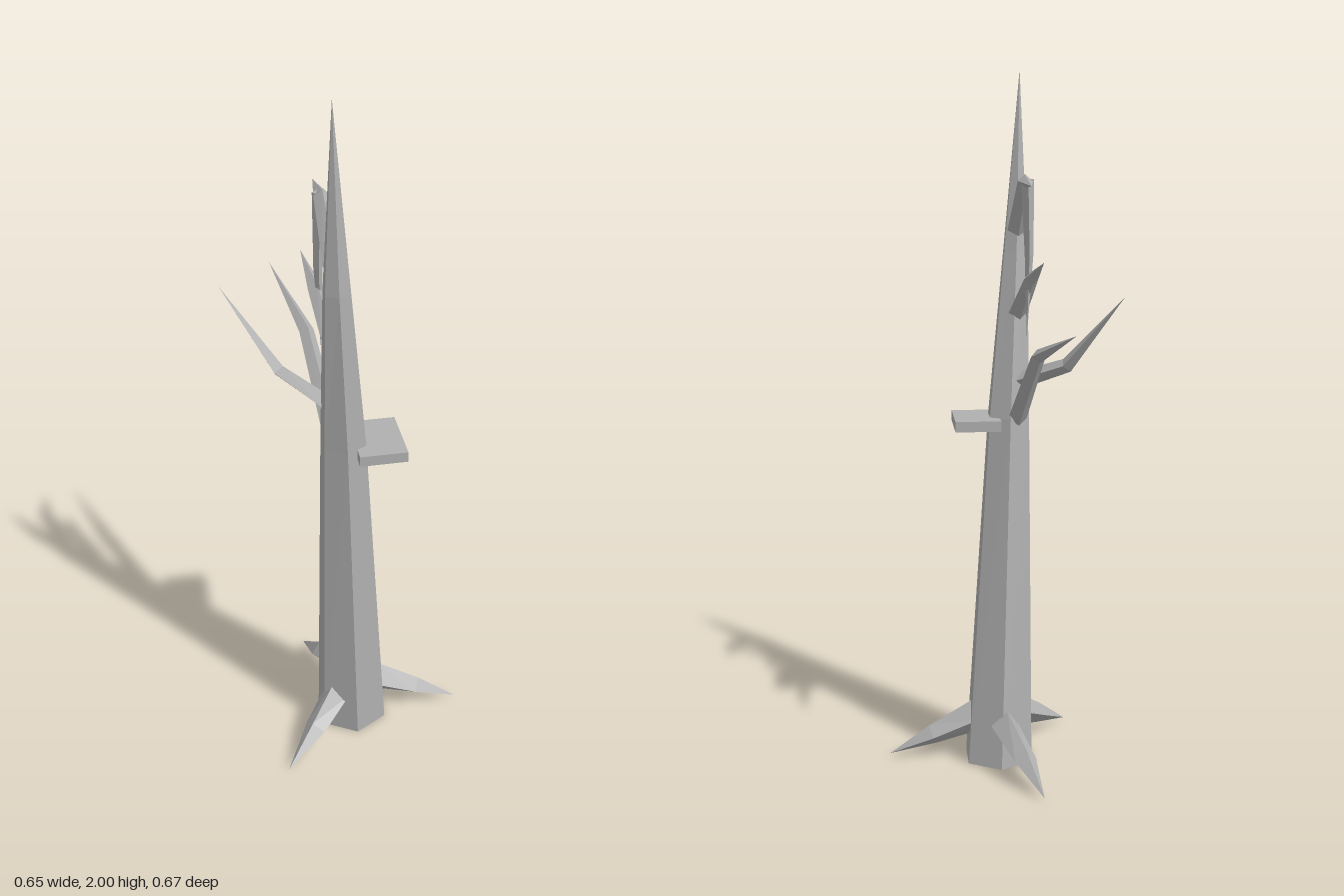
import * as THREE from 'three';

// Lofts a pointed, faceted limb through rings [x, y, z, halfWidth, halfHeight]; the last ring is the tip.
function limb(rings, sides, ref, turn = 0) {
  const centres = rings.map(r => new THREE.Vector3(r[0], r[1], r[2]));
  const loops = rings.map((r, k) => {
    const t = centres[Math.min(k + 1, rings.length - 1)].clone().sub(centres[Math.max(k - 1, 0)]).normalize();
    if (sides === 6) t.set(0, 1, 0); // trunk rings stay level
    const u = ref.clone().cross(t).normalize();
    const v = t.clone().cross(u);
    return Array.from({ length: sides }, (_, i) => {
      const a = turn + (i / sides) * Math.PI * 2;
      return centres[k].clone()
        .addScaledVector(u, Math.cos(a) * r[3])
        .addScaledVector(v, Math.sin(a) * r[4]);
    });
  });
  const pts = [];
  for (let i = 0; i < sides; i++) {
    const j = (i + 1) % sides;
    pts.push(centres[0], loops[0][j], loops[0][i]); // base cap
    for (let k = 0; k < rings.length - 1; k++) {
      const A = loops[k], B = loops[k + 1];
      pts.push(A[i], A[j], B[j]);
      if (k < rings.length - 2) pts.push(A[i], B[j], B[i]);
    }
  }
  const g = new THREE.BufferGeometry().setFromPoints(pts);
  g.computeVertexNormals();
  return g;
}

export function createModel() {
  const group = new THREE.Group();
  const wood = new THREE.MeshStandardMaterial({ color: 0xb0b0b0, flatShading: true });
  wood.name = 'grey wood';
  const add = (name, geometry) => {
    const mesh = new THREE.Mesh(geometry, wood);
    mesh.name = name;
    group.add(mesh);
    return mesh;
  };
  const up = new THREE.Vector3(0, 1, 0);
  const front = new THREE.Vector3(0, 0, 1);

  // Leaning six-sided trunk
  add('trunk', limb([
    [0, 0, 0.11, 0.108, 0.106],
    [-0.034, 1.03, 0.16, 0.065, 0.067],
    [-0.057, 1.5, 0.198, 0.038, 0.036],
    [-0.07, 2, 0.215, 0, 0],
  ], 6, front, Math.PI / 6));

  // Three pointed roots
  const roots = {
    leftRoot: [[0.06, 0.13, 0.115], [0.195, 0.07, 0.12], [0.325, 0.01, 0.128]],
    frontRoot: [[-0.05, 0.125, 0.155], [-0.135, 0.07, 0.245], [-0.23, 0.01, 0.338]],
    backRoot: [[-0.01, 0.13, 0.04], [-0.06, 0.07, -0.085], [-0.1, 0.01, -0.205]],
  };
  for (const [name, [a, b, c]] of Object.entries(roots)) {
    add(name, limb([[...a, 0.042, 0.05], [...b, 0.033, 0.03], [...c, 0, 0]], 4, up));
  }

  // Bent branches
  const branches = {
    rightBranch: [[-0.07, 1.14, 0.135], [-0.185, 1.195, 0.035], [-0.325, 1.4, -0.085]],
    longBackBranch: [[-0.055, 1.03, 0.115], [-0.09, 1.24, -0.085], [-0.155, 1.33, -0.335]],
    shortBackBranch: [[-0.06, 1.33, 0.15], [-0.085, 1.435, 0.045], [-0.105, 1.49, -0.075]],
    upperBackBranch: [[-0.06, 1.56, 0.175], [-0.07, 1.7, 0.065], [-0.072, 1.69, -0.065]],
  };
  for (const [name, [a, b, c]] of Object.entries(branches)) {
    add(name, limb([[...a, 0.028, 0.025], [...b, 0.021, 0.021], [...c, 0, 0]], 4, up));
  }

  // Spike hanging from the upper branch
  add('hangingSpike', limb([
    [-0.075, 1.705, 0.055, 0.018, 0.02],
    [-0.08, 1.5, 0.057, 0.012, 0.014],
    [-0.075, 1.27, 0.06, 0, 0],
  ], 4, front));

  // Flat shelf on the left side
  add('shelf', new THREE.BoxGeometry(0.13, 0.03, 0.175)).position.set(0.06, 1.017, 0.158);

  return group;
}
